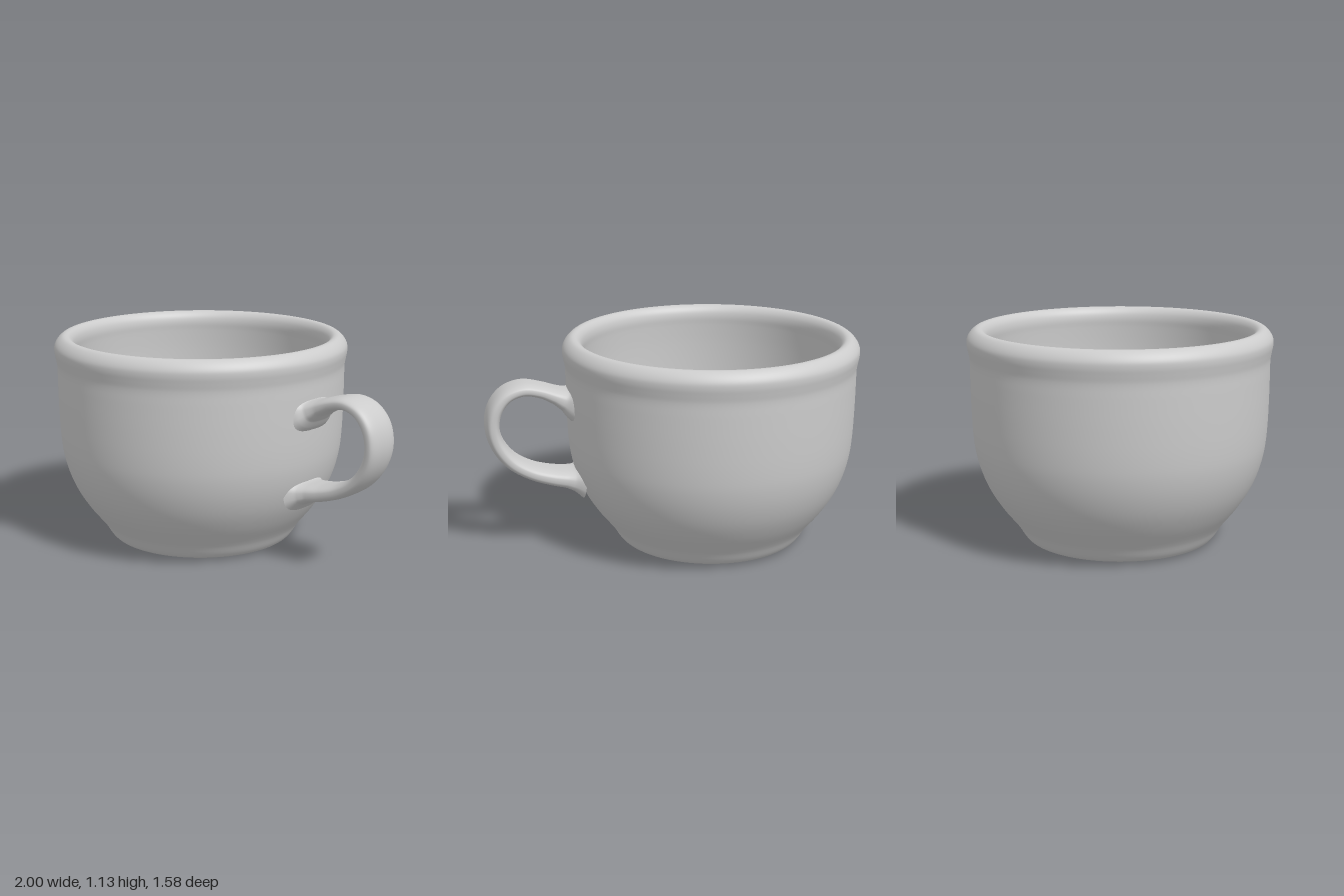
import * as THREE from 'three';

const CUP_X = -0.213;
const material = new THREE.MeshStandardMaterial({ color: 0xcccccc });

// Turned body: underside, outer wall, rolled rim, inner wall, floor
function makeBody() {
  const profile = [
    [0, 0.006], [0.2, 0.005], [0.39, 0.003], [0.45, 0.01], [0.485, 0.02], [0.508, 0.042], [0.545, 0.1],
    [0.625, 0.2], [0.688, 0.3], [0.73, 0.4], [0.755, 0.5], [0.766, 0.6], [0.772, 0.75],
    [0.774, 0.9], [0.775, 0.975], [0.782, 1.015], [0.788, 1.05], [0.786, 1.08], [0.768, 1.11],
    [0.74, 1.13], [0.712, 1.128], [0.69, 1.105], [0.681, 1.07], [0.684, 1.02], [0.689, 0.9],
    [0.688, 0.7], [0.68, 0.55], [0.66, 0.42], [0.62, 0.3], [0.56, 0.2], [0.49, 0.145],
    [0.38, 0.12], [0.2, 0.11], [0, 0.11],
  ];
  const curve = new THREE.CatmullRomCurve3(profile.map(([r, y]) => new THREE.Vector3(r, y, 0)));
  const points = curve.getPoints(132).map((p) => new THREE.Vector2(Math.max(p.x, 0), p.y));
  const body = new THREE.Mesh(new THREE.LatheGeometry(points, 128), material);
  body.name = 'cupBody';
  body.position.x = CUP_X;
  return body;
}

// Strap handle: rounded sections swept along a loop, flared where it meets the wall
function makeHandle() {
  // x, y, half thickness, half width
  const stations = [
    [0.5, 0.81, 0.13, 0.19], [0.55, 0.82, 0.085, 0.145], [0.58, 0.83, 0.056, 0.115], [0.63, 0.853, 0.041, 0.1],
    [0.71, 0.885, 0.034, 0.097], [0.8, 0.899, 0.034, 0.1], [0.885, 0.868, 0.036, 0.103],
    [0.943, 0.795, 0.038, 0.105], [0.961, 0.7, 0.038, 0.104], [0.938, 0.605, 0.038, 0.1],
    [0.87, 0.51, 0.038, 0.098], [0.77, 0.446, 0.039, 0.099], [0.66, 0.41, 0.043, 0.104],
    [0.58, 0.395, 0.048, 0.112], [0.54, 0.387, 0.057, 0.125], [0.49, 0.38, 0.09, 0.16],
  ];
  const centre = new THREE.CatmullRomCurve3(stations.map(([x, y]) => new THREE.Vector3(x, y, 0)));
  const sizes = new THREE.CatmullRomCurve3(stations.map(([, , t, w]) => new THREE.Vector3(t, w, 0)));
  const steps = 90, sides = 40, positions = [], index = [];
  const round = (v) => Math.sign(v) * Math.pow(Math.abs(v), 0.72);

  for (let i = 0; i <= steps; i++) {
    const p = centre.getPoint(i / steps);
    const tangent = centre.getTangent(i / steps);
    const s = sizes.getPoint(i / steps);
    for (let j = 0; j < sides; j++) {
      const a = (j / sides) * Math.PI * 2;
      const across = round(Math.cos(a)) * s.x;
      positions.push(p.x - tangent.y * across, p.y + tangent.x * across, round(Math.sin(a)) * s.y);
      if (i < steps) {
        const k = i * sides + j, n = i * sides + ((j + 1) % sides);
        index.push(k, n, k + sides, n, n + sides, k + sides);
      }
    }
  }
  const geometry = new THREE.BufferGeometry();
  geometry.setAttribute('position', new THREE.Float32BufferAttribute(positions, 3));
  geometry.setIndex(index);
  geometry.computeVertexNormals();
  const handle = new THREE.Mesh(geometry, material);
  handle.name = 'handle';
  return handle;
}

export function createModel() {
  const cup = new THREE.Group();
  cup.name = 'cup';
  cup.add(makeBody(), makeHandle());
  return cup;
}
